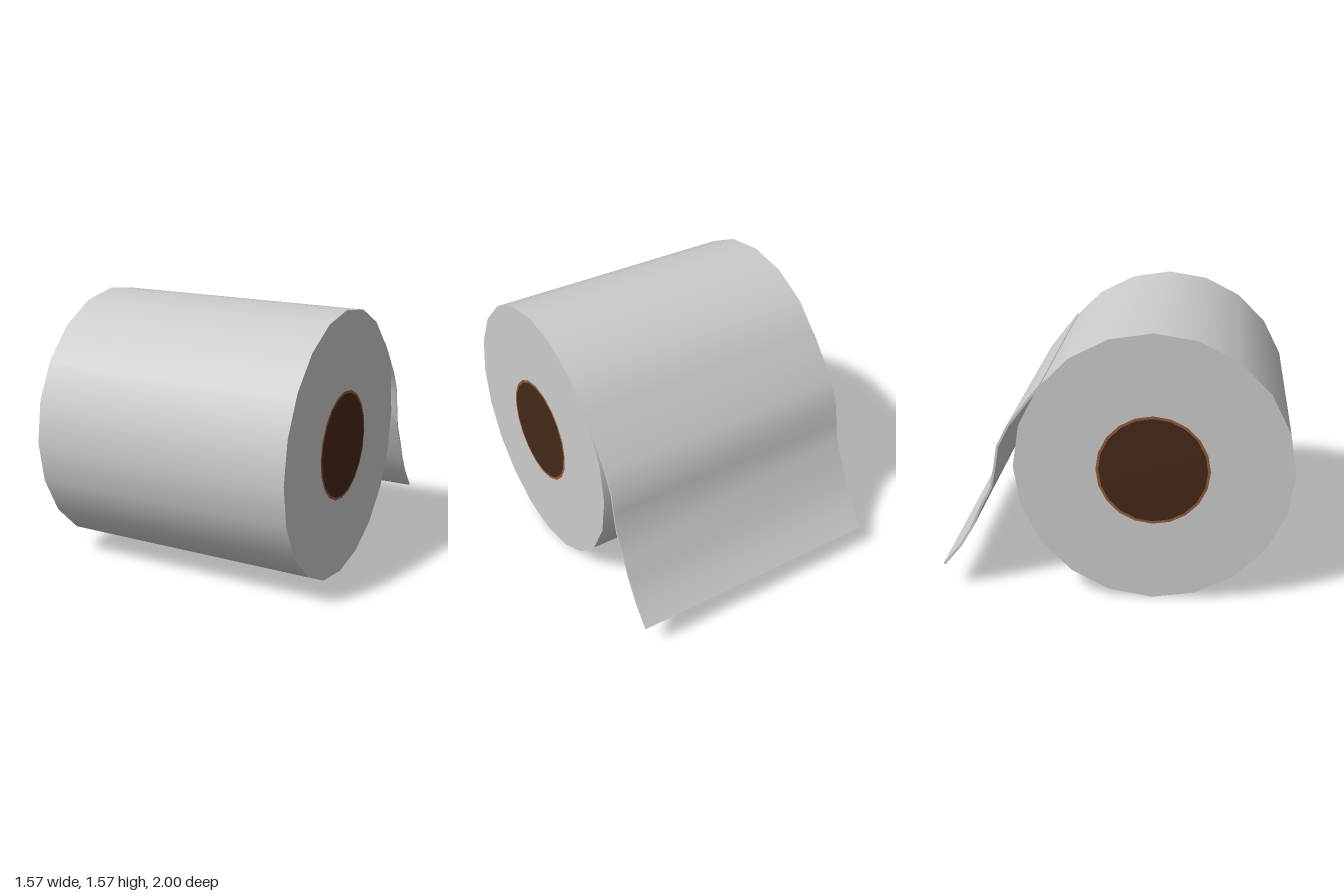
import * as THREE from 'three';
import { toCreasedNormals } from 'three/addons/utils/BufferGeometryUtils.js';

const R = 0.785, WIDTH = 1.57, CENTER_Z = 0.215, SIDES = 20;

export function createModel() {
  const group = new THREE.Group();
  const paper = new THREE.MeshStandardMaterial({ color: 0xcccccc });
  const cardboard = new THREE.MeshStandardMaterial({ color: 0x925a36 });
  const dark = new THREE.MeshStandardMaterial({ color: 0x452818 });

  // Cylinder lying along x, centred on the roll axis
  function drum(name, radius, length, material) {
    const geo = new THREE.CylinderGeometry(radius, radius, length, SIDES);
    geo.rotateZ(Math.PI / 2);
    const mesh = new THREE.Mesh(geo, material);
    mesh.name = name;
    mesh.position.set(0, R, CENTER_Z);
    group.add(mesh);
  }
  drum('paperRoll', R, WIDTH, paper);
  drum('cardboardCore', 0.32, WIDTH + 0.002, cardboard);
  drum('coreOpening', 0.305, WIDTH + 0.004, dark);

  // Loose sheet: outer profile as (z, y), thickened inwards
  const outer = [
    [-0.405, 1.27], [-0.475, 1.185], [-0.597, 1.025], [-0.66, 0.9], [-0.68, 0.78],
    [-0.707, 0.65], [-0.775, 0.52], [-0.827, 0.4], [-0.9, 0.28], [-1, 0.16],
  ].map(([z, y]) => new THREE.Vector2(z, y));
  const inner = outer.map((p, i) => {
    const a = outer[Math.max(i - 1, 0)], b = outer[Math.min(i + 1, outer.length - 1)];
    const t = b.clone().sub(a).normalize();
    return new THREE.Vector2(p.x - t.y * 0.013, p.y + t.x * 0.013);
  });
  const shape = new THREE.Shape([...outer, ...inner.reverse()]);
  const flap = new THREE.ExtrudeGeometry(shape, { depth: WIDTH, bevelEnabled: false });
  flap.translate(0, 0, -WIDTH / 2);
  flap.rotateY(-Math.PI / 2);
  const sheet = new THREE.Mesh(toCreasedNormals(flap, 0.8), paper);
  sheet.name = 'looseSheet';
  group.add(sheet);

  return group;
}
